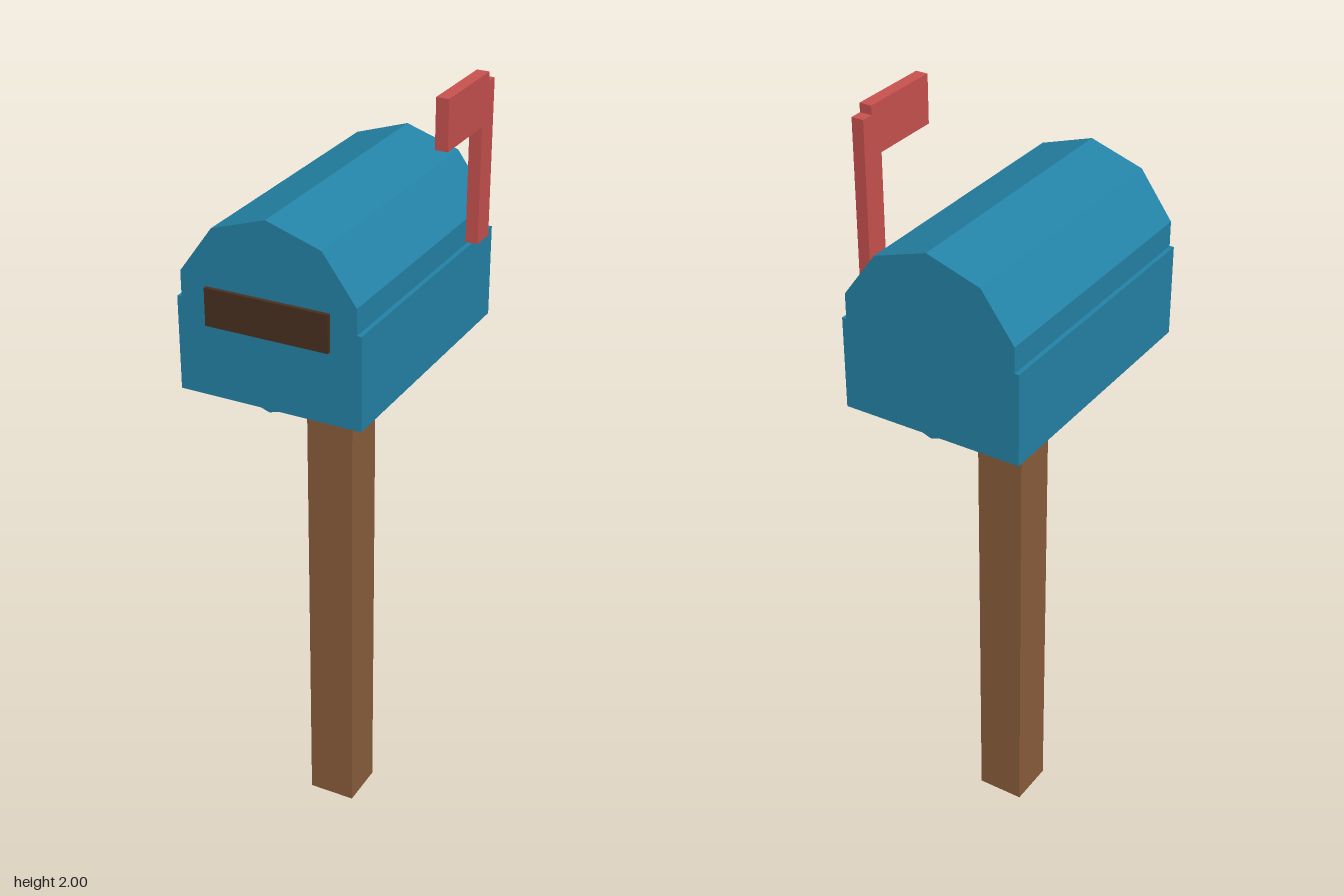
import * as THREE from 'three';

const material = (name, color) => {
  const m = new THREE.MeshStandardMaterial({ color, flatShading: true });
  m.name = name;
  return m;
};

export function createModel() {
  const blue = material('blue paint', 0x2484a8);
  const wood = material('post wood', 0x8b5e3b);
  const dark = material('dark brown', 0x4a3120);
  const red = material('flag red', 0xc9524f);

  const model = new THREE.Group();
  model.name = 'mailbox';

  const add = (name, geometry, mat, parent = model) => {
    const mesh = new THREE.Mesh(geometry, mat);
    mesh.name = name;
    parent.add(mesh);
  };
  // Box given by its limits on each axis
  const block = (x0, x1, y0, y1, z0, z1) =>
    new THREE.BoxGeometry(x1 - x0, y1 - y0, z1 - z0)
      .translate((x0 + x1) / 2, (y0 + y1) / 2, (z0 + z1) / 2);

  const cx = -0.0245, cz = -0.006; // centre line of post and box
  const halfLength = 0.349;

  // Square post
  add('post', block(cx - 0.062, cx + 0.062, 0, 1.34, cz - 0.062, cz + 0.062), wood);

  // Box body with a ten-sided barrel lying through it as the roof
  add('body', block(cx - 0.2325, cx + 0.2325, 1.327, 1.56, cz - halfLength, cz + halfLength), blue);
  const barrel = new THREE.CylinderGeometry(0.2325, 0.2325, halfLength * 2, 10)
    .rotateX(-Math.PI / 2)
    .translate(cx, 1.552, cz);
  add('barrelRoof', barrel, blue);

  // Slot plate on the front
  add('mailSlot', block(-0.18, 0.131, 1.506, 1.599, 0.335, 0.353), dark);

  // Raised flag: upright stem and forward-pointing arm
  const flag = new THREE.Group();
  flag.name = 'flag';
  model.add(flag);
  add('flagStem', block(0.224, 0.255, 1.595, 1.978, -0.222, -0.16), red, flag);
  add('flagArm', block(0.224, 0.255, 1.88, 2.0, -0.191, 0.025), red, flag);

  return model;
}
